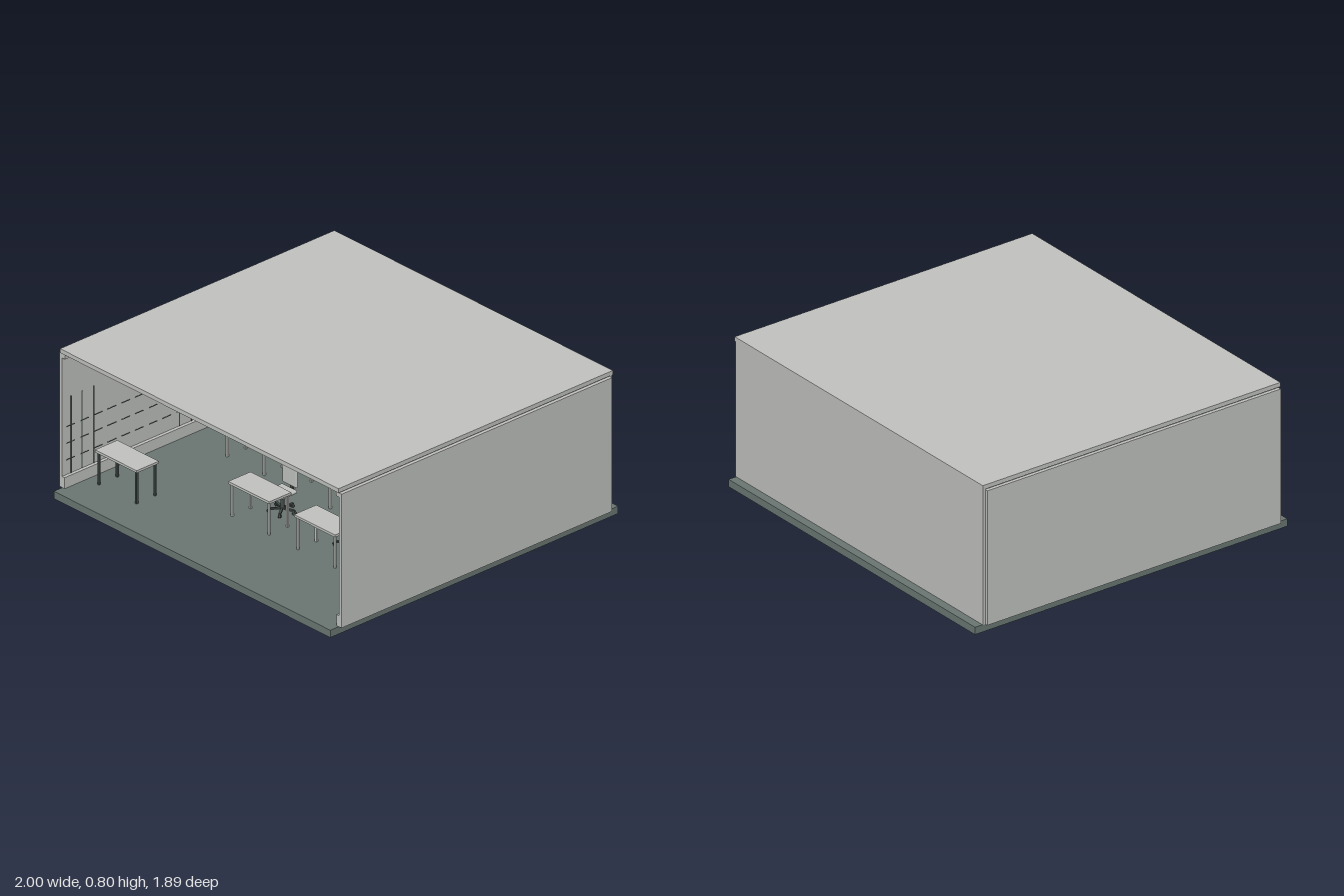
import * as THREE from 'three';
import { RoundedBoxGeometry } from 'three/addons/geometries/RoundedBoxGeometry.js';

const mat = (name, color) => {
  const m = new THREE.MeshStandardMaterial({ color });
  m.name = name;
  return m;
};

export function createModel() {
  const model = new THREE.Group();
  model.name = 'classroom';
  const wall = mat('lightGrey', 0xc3c5c1);
  const floorGrey = mat('floorGrey', 0x6b7873);
  const dark = mat('darkGrey', 0x434c4a);
  const wood = mat('doorWood', 0xbca285);
  const groove = mat('grooveBrown', 0x8a7259);

  const add = (parent, name, geometry, material, x = 0, y = 0, z = 0) => {
    const m = new THREE.Mesh(geometry, material);
    m.name = name;
    m.position.set(x, y, z);
    parent.add(m);
    return m;
  };
  // Box given by its lower and upper corners
  const span = (parent, name, material, x0, x1, y0, y1, z0, z1) =>
    add(parent, name, new THREE.BoxGeometry(x1 - x0, y1 - y0, z1 - z0), material,
      (x0 + x1) / 2, (y0 + y1) / 2, (z0 + z1) / 2);

  // Shell, open at the front
  const F = 0.04;
  span(model, 'floor', floorGrey, -0.98, 0.98, 0, F, -0.945, 0.945);
  span(model, 'roof', wall, -0.987, 0.987, 0.773, 0.796, -0.903, 0.897);
  span(model, 'backWall', wall, -0.985, 0.985, F, 0.773, -0.9, -0.885);
  for (const s of [-1, 1]) {
    const side = (name, a, b, y0, y1) =>
      span(model, name, wall, Math.min(s * a, s * b), Math.max(s * a, s * b), y0, y1, -0.886, 0.89);
    side('sideWall', 0.981, 1, F, 0.768);
    side('sideBaseboard', 0.963, 0.981, F, 0.1);
    side('sideCornice', 0.96, 0.981, 0.745, 0.772);
  }
  span(model, 'backCornice', wall, -0.96, 0.96, 0.745, 0.772, -0.885, -0.868);
  span(model, 'backBaseboardRight', wall, -0.963, 0.142, F, 0.1, -0.885, -0.868);
  span(model, 'backBaseboardLeft', wall, 0.362, 0.963, F, 0.1, -0.885, -0.868);

  // Door with frame, six grooved panels and a knob
  const door = new THREE.Group();
  door.name = 'door';
  model.add(door);
  span(door, 'doorLeaf', wood, 0.155, 0.35, 0.085, 0.532, -0.885, -0.872);
  span(door, 'threshold', wall, 0.155, 0.35, F, 0.085, -0.885, -0.87);
  span(door, 'frameRight', wall, 0.142, 0.155, F, 0.545, -0.885, -0.865);
  span(door, 'frameLeft', wall, 0.35, 0.362, F, 0.545, -0.885, -0.865);
  span(door, 'frameTop', wall, 0.155, 0.35, 0.532, 0.545, -0.885, -0.865);
  for (const x of [0.165, 0.263]) {
    for (const [y0, y1] of [[0.418, 0.495], [0.21, 0.4], [0.11, 0.165]]) {
      span(door, 'panelGroove', groove, x, x + 0.077, y0, y0 + 0.004, -0.872, -0.87);
      span(door, 'panelGroove', groove, x + 0.073, x + 0.077, y0, y1, -0.872, -0.87);
    }
  }
  add(door, 'knob', new THREE.SphereGeometry(0.01, 16, 12), wood, 0.18, 0.257, -0.858);

  // Board on the side wall, and thin panel joints around it
  span(model, 'boardFrame', floorGrey, -0.981, -0.95, 0.4, 0.72, -0.38, 0.38);
  span(model, 'boardScreen', dark, -0.95, -0.946, 0.415, 0.705, -0.365, 0.365);
  for (const z of [0.83, 0.76, 0.68, 0.12, 0.04, -0.04, -0.12, -0.2])
    span(model, 'wallJoint', dark, -0.981, -0.979, 0.1, z > 0.5 ? 0.52 : 0.39, z - 0.003, z + 0.003);
  for (const y of [0.18, 0.27, 0.36])
    for (let z = 0.86; z > -0.25; z -= 0.09)
      span(model, 'wallJoint', dark, -0.981, -0.979, y - 0.002, y + 0.002, z - 0.055, z);

  // Desk: its back right corner at x, z
  const addDesk = (x, z, w, legMaterial) => {
    const desk = new THREE.Group();
    desk.name = 'desk';
    desk.position.set(x + w / 2, F, z + 0.073);
    model.add(desk);
    span(desk, 'deskTop', wall, -w / 2, w / 2, 0.175, 0.188, -0.073, 0.073);
    for (const sx of [-1, 1]) for (const sz of [-1, 1])
      add(desk, 'deskLeg', new THREE.BoxGeometry(0.011, 0.175, 0.011), legMaterial,
        sx * (w / 2 - 0.014), 0.0875, sz * 0.06);
  };

  // Swivel chair facing the front
  const addChair = (x, z) => {
    const chair = new THREE.Group();
    chair.name = 'chair';
    chair.position.set(x, F, z);
    model.add(chair);
    add(chair, 'seat', new RoundedBoxGeometry(0.11, 0.018, 0.1, 2, 0.008), wall, 0, 0.11, 0);
    add(chair, 'backrest', new RoundedBoxGeometry(0.1, 0.11, 0.014, 3, 0.006), wall, 0, 0.183, -0.052);
    span(chair, 'backSupport', dark, -0.01, 0.01, 0.092, 0.17, -0.067, -0.059);
    span(chair, 'seatSupport', dark, -0.025, 0.025, 0.092, 0.102, -0.067, 0.03);
    add(chair, 'post', new THREE.CylinderGeometry(0.009, 0.011, 0.075, 12), dark, 0, 0.056, 0);
    for (let i = 0; i < 5; i++) {
      const spoke = new THREE.Group();
      spoke.name = 'baseSpoke';
      spoke.rotation.y = Math.PI / 2 + i * Math.PI * 2 / 5;
      chair.add(spoke);
      span(spoke, 'arm', dark, 0, 0.07, 0.016, 0.025, -0.006, 0.006);
      const wheel = add(spoke, 'caster', new THREE.CylinderGeometry(0.009, 0.009, 0.014, 12), dark, 0.066, 0.009, 0);
      wheel.rotation.x = Math.PI / 2;
    }
  };

  // Teacher's table, then rows of desks with chairs behind them
  addDesk(-0.897, 0.605, 0.295, dark);
  const columns = [[-0.69, 0.29], [-0.222, 0.29], [0.245, 0.29], [0.623, 0.24]];
  const rows = [[0.356, [1, 2]], [-0.045, [0, 1, 2, 3]], [-0.445, [0, 1, 2, 3]]];
  for (const [z, used] of rows) {
    for (const c of used) {
      const [x, w] = columns[c];
      addDesk(x, z, w, wall);
      addChair(x + w / 2, z - 0.075);
    }
  }
  return model;
}
